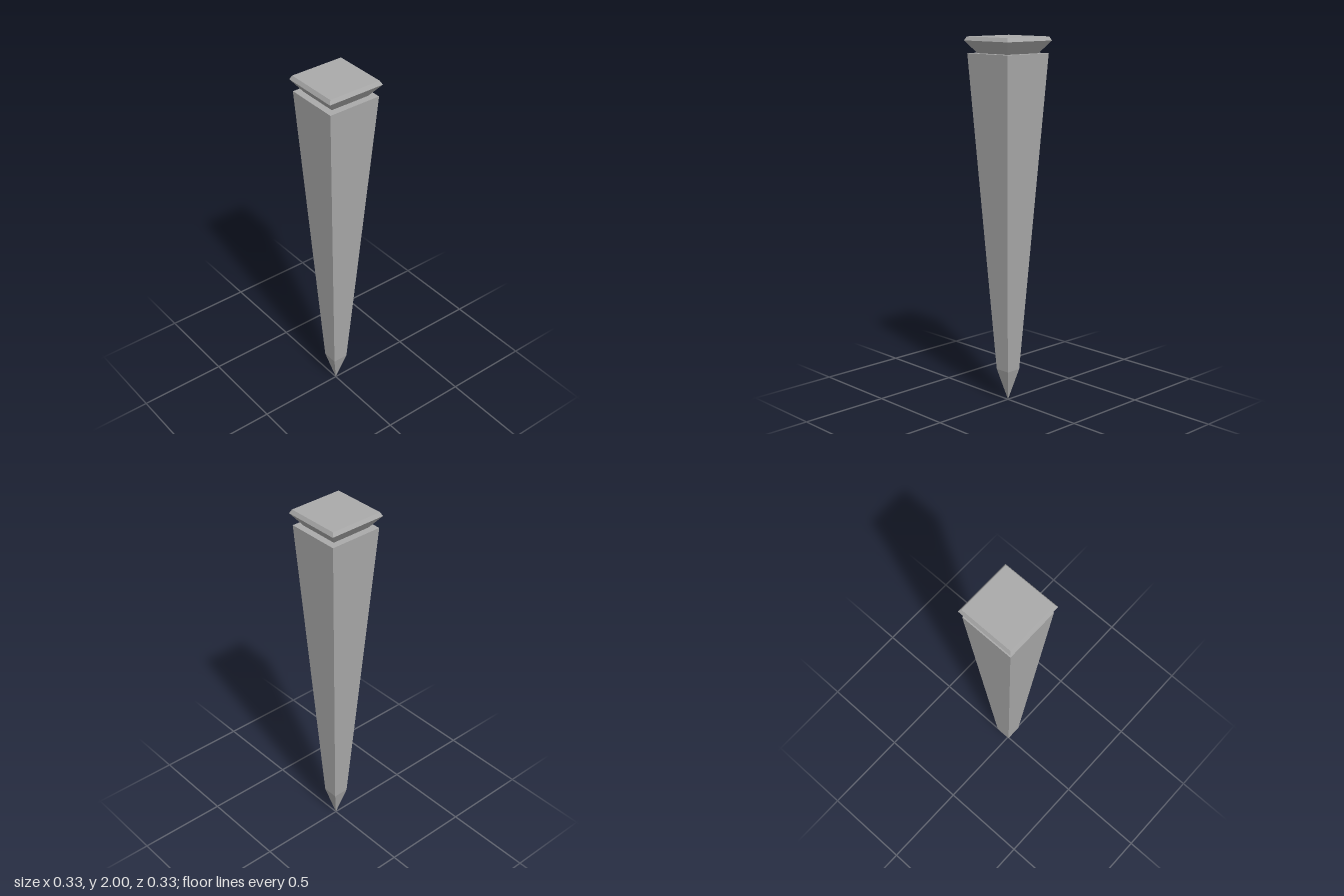
import * as THREE from 'three';

const steel = new THREE.MeshStandardMaterial({ color: 0xaaaaaa });
steel.name = 'steel grey';

// Square-section solid from [half width, height] pairs, bottom to top
function squareLathe(name, profile) {
  const points = profile.map(([half, y]) => new THREE.Vector2(half * Math.SQRT2, y));
  const geometry = new THREE.LatheGeometry(points, 4, Math.PI / 4).toNonIndexed();
  geometry.computeVertexNormals(); // flat facets
  const mesh = new THREE.Mesh(geometry, steel);
  mesh.name = name;
  return mesh;
}

export function createModel() {
  const model = new THREE.Group();
  model.name = 'spike';

  // Tapered shaft with a sharp point and a flat shoulder
  model.add(squareLathe('shaft', [[0, 0], [0.044, 0.178], [0.151, 1.913], [0, 1.913]]));

  // Flared head with a bevelled striking face
  model.add(squareLathe('head', [[0.113, 1.913], [0.163, 1.979], [0.152, 2], [0, 2]]));

  return model;
}
